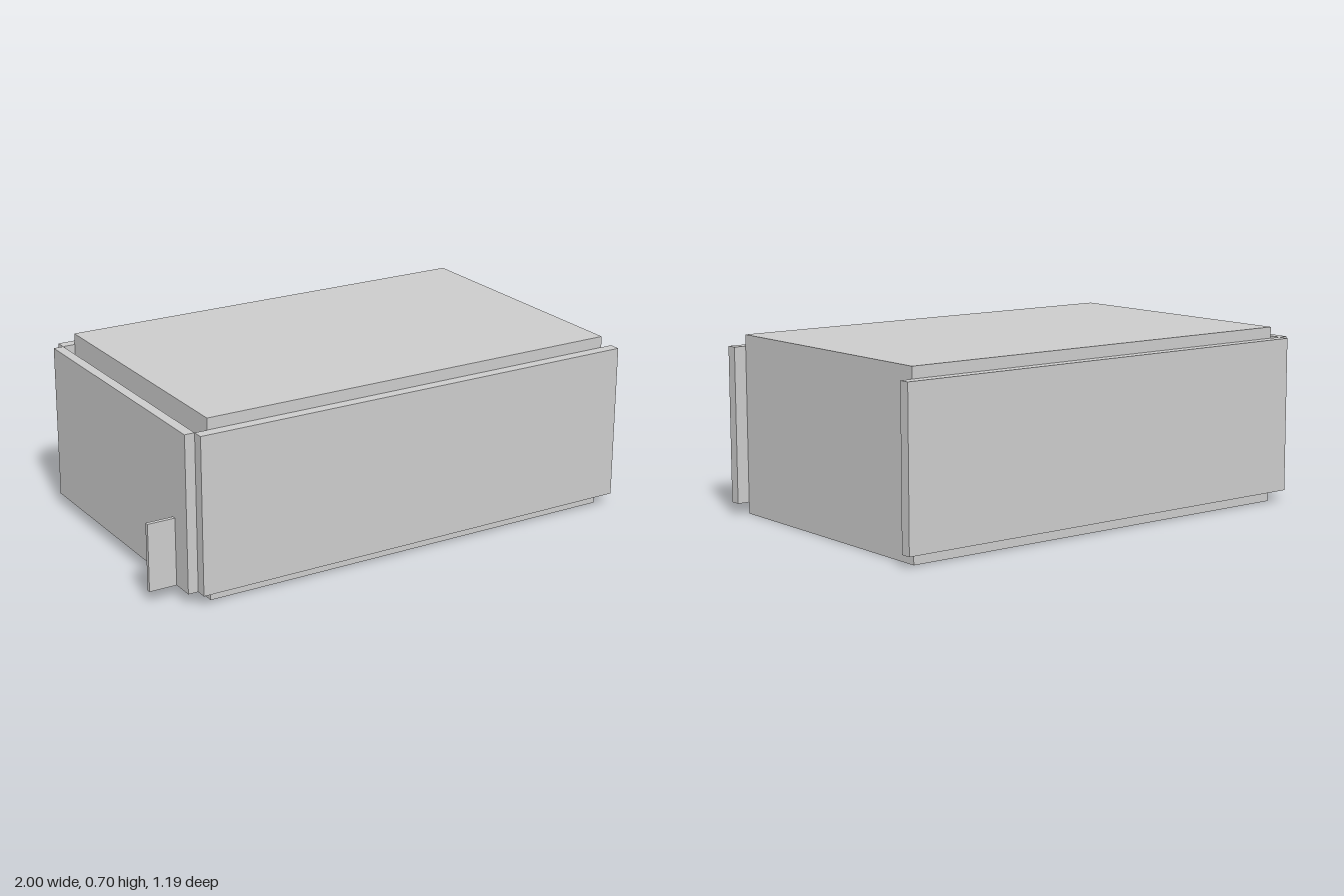
import * as THREE from 'three';

const lightGrey = new THREE.MeshStandardMaterial({ color: 0xcccccc });
lightGrey.name = 'lightGrey';

// Box given by its lower and upper limits on each axis
function slab(name, [x0, x1], [y0, y1], [z0, z1]) {
  const mesh = new THREE.Mesh(new THREE.BoxGeometry(x1 - x0, y1 - y0, z1 - z0), lightGrey);
  mesh.name = name;
  mesh.position.set((x0 + x1) / 2, (y0 + y1) / 2, (z0 + z1) / 2);
  return mesh;
}

export function createModel() {
  const group = new THREE.Group();
  group.name = 'panelledCabinet';
  const panelY = [0.045, 0.66];

  // Main body
  group.add(slab('body', [-0.8, 0.95], [0, 0.705], [-0.55, 0.55]));

  // Long cover panels on front and back
  group.add(slab('frontPanel', [-0.85, 1], panelY, [0.55, 0.594]));
  group.add(slab('backPanel', [-0.85, 1], panelY, [-0.594, -0.55]));

  // End door, standing off from the body by a narrow gap
  group.add(slab('endDoor', [-0.89, -0.85], panelY, [-0.55, 0.55]));

  // Thin bracket passing through the door
  group.add(slab('bracket', [-1, -0.8], [0.045, 0.31], [0.443, 0.459]));

  return group;
}
